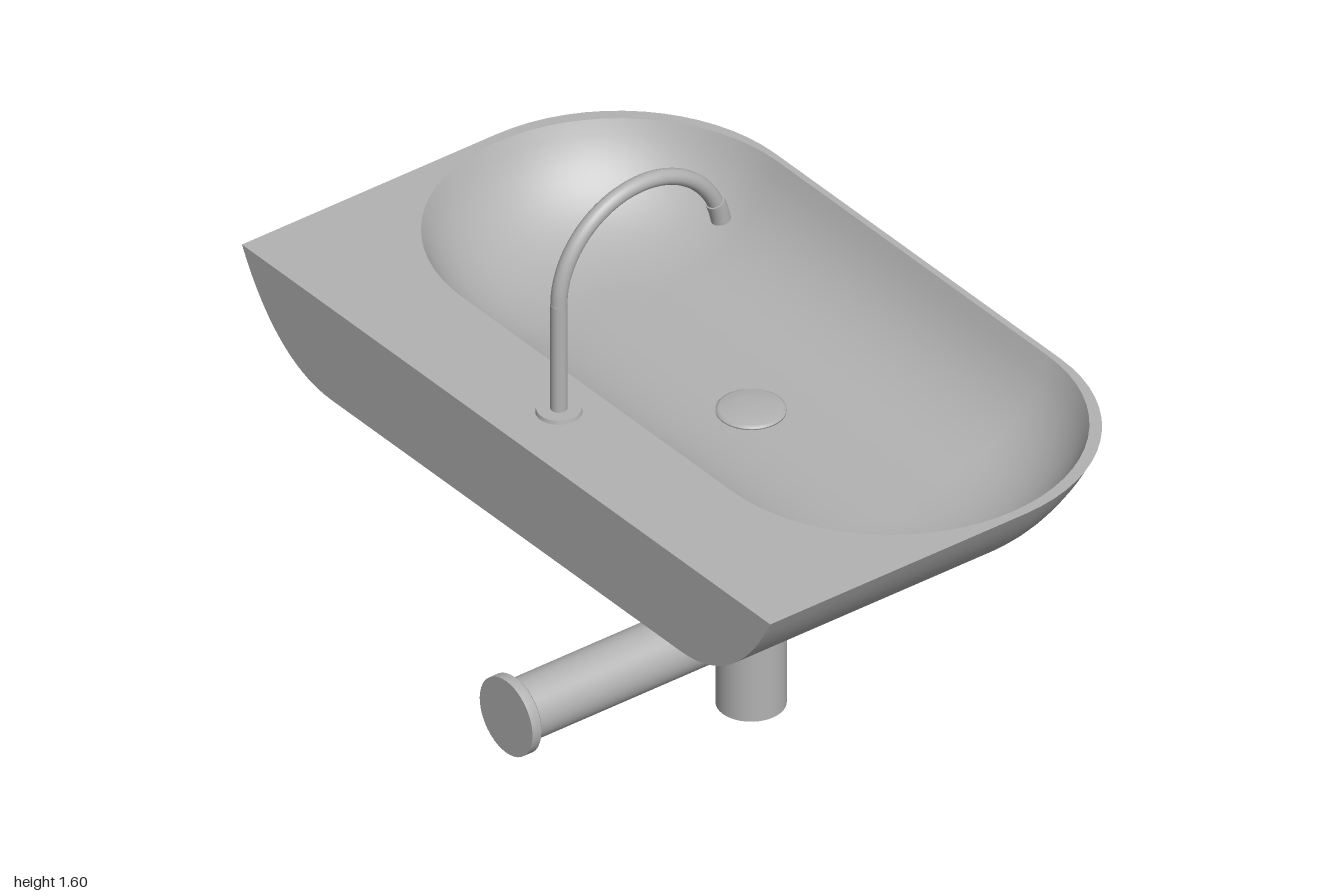
import * as THREE from 'three';

const RIM = 1.045, UNDER = 0.79, FLOOR = 0.808, BACK = -0.605, DRAIN_X = 0.115;
const ceramic = new THREE.MeshStandardMaterial({ color: 0xb2b2b2 });
ceramic.name = 'grey ceramic';

const V = (x, y) => new THREE.Vector2(x, y);

// Arc points (x, z) between two angles in degrees
function arc(cx, cz, r, from, to, n = 16) {
  return Array.from({ length: n + 1 }, (_, i) => {
    const a = THREE.MathUtils.degToRad(from + ((to - from) * i) / n);
    return V(cx + r * Math.cos(a), cz + r * Math.sin(a));
  });
}

// Outer outline: square at the back, rounded at the front corners
function outerOutline(inset) {
  const r = 0.46 - inset, cx = 0.145, cz = 0.54;
  return [V(BACK, cz + r), ...arc(cx, cz, r, 90, 0), ...arc(cx, -cz, r, 0, -90), V(BACK, -cz - r)];
}

// Basin outline: a long oval with straight sides
function basinOutline(inset) {
  const r = 0.462 - inset, cx = 0.127, cz = 0.512;
  return [V(cx - r, 0), ...arc(cx, cz, r, 180, 0, 32), ...arc(cx, -cz, r, 0, -180, 32), V(cx - r, 0)];
}

// Skin stacked outlines; profile points are (inset, y)
function loft(outline, profile, inward) {
  const rings = profile.map((p) => outline(p.x));
  const n = rings[0].length, pos = [], idx = [];
  rings.forEach((ring, i) => ring.forEach((p) => pos.push(p.x, profile[i].y, p.y)));
  for (let i = 0; i < rings.length - 1; i++) {
    for (let j = 0; j < n - 1; j++) {
      const a = i * n + j, b = a + 1, c = a + n, d = c + 1;
      if (inward) idx.push(a, b, c, b, d, c);
      else idx.push(a, c, b, b, c, d);
    }
  }
  const g = new THREE.BufferGeometry();
  g.setAttribute('position', new THREE.Float32BufferAttribute(pos, 3));
  g.setIndex(idx);
  g.computeVertexNormals();
  return g;
}

// Flat horizontal face
function flat(points, y, up, hole) {
  const shape = new THREE.Shape(points);
  if (hole) shape.holes.push(new THREE.Path(hole));
  return new THREE.ShapeGeometry(shape).rotateX(up ? -Math.PI / 2 : Math.PI / 2).translate(0, y, 0);
}

function bowlProfile(width, bulge, bottom) {
  return new THREE.QuadraticBezierCurve(V(0, RIM), V(bulge, bottom), V(width, bottom)).getPoints(14);
}

export function createModel() {
  const model = new THREE.Group();
  model.name = 'washbasin';
  const add = (name, geometry, parent = model) => {
    const m = new THREE.Mesh(geometry, ceramic);
    m.name = name;
    parent.add(m);
    return m;
  };
  const group = (name) => {
    const g = new THREE.Group();
    g.name = name;
    model.add(g);
    return g;
  };

  // Basin body
  const body = group('basinBody');
  const outer = bowlProfile(0.34, 0.13, UNDER);
  const inner = bowlProfile(0.4, 0.1, FLOOR);
  add('outerShell', loft(outerOutline, outer, false), body);
  add('underside', flat(outerOutline(0.34), UNDER, false), body);
  add('deck', flat(outerOutline(0), RIM, true, basinOutline(0).slice(0, -1)), body);
  add('bowl', loft(basinOutline, inner, true), body);
  add('bowlFloor', flat(basinOutline(0.4).slice(0, -1), FLOOR, true), body);
  const wall = [
    ...outer.map((p) => V(1 - p.x, p.y)),
    ...outer.map((p) => V(p.x - 1, p.y)).reverse(),
  ];
  add('backWall', new THREE.ShapeGeometry(new THREE.Shape(wall)).rotateY(-Math.PI / 2).translate(BACK, 0, 0), body);

  // Drain cover, slightly domed
  add('drainCover', new THREE.LatheGeometry(
    [V(0.07, 0), V(0.083, 0.008), V(0.083, 0.012), V(0.075, 0.017), V(0.04, 0.021), V(0, 0.022)], 40,
  )).position.set(DRAIN_X, FLOOR, 0);

  // Faucet
  const faucet = group('faucet');
  const fx = -0.21, fy = 1.345, fr = 0.24;
  const bend = (from, to, n) => Array.from({ length: n + 1 }, (_, i) => {
    const a = from + ((to - from) * i) / n;
    return new THREE.Vector3(fx + fr * Math.cos(a), fy + fr * Math.sin(a), 0);
  });
  const tube = (points, n, r) => new THREE.TubeGeometry(new THREE.CatmullRomCurve3(points), n, r, 20);
  add('faucetFlange', new THREE.CylinderGeometry(0.053, 0.055, 0.01, 32), faucet)
    .position.set(fx - fr, RIM + 0.005, 0);
  add('faucetStem', new THREE.CylinderGeometry(0.02, 0.02, fy - RIM, 20, 1, true), faucet)
    .position.set(fx - fr, (RIM + fy) / 2, 0);
  add('faucetArch', tube(bend(Math.PI, 0.3, 24), 48, 0.02), faucet);
  add('faucetNozzle', tube(bend(0.43, 0.18, 4), 6, 0.024), faucet);
  // Nozzle end faces
  for (const [a, dir] of [[0.18, -1], [0.43, 1]]) {
    const end = add('nozzleEnd', new THREE.CircleGeometry(0.024, 20), faucet);
    end.position.set(fx + fr * Math.cos(a), fy + fr * Math.sin(a), 0);
    end.lookAt(end.position.x - dir * Math.sin(a), end.position.y + dir * Math.cos(a), 0);
  }

  // Trap below the basin
  const trap = group('trap');
  const pipe = (name, r, y0, y1) => add(name, new THREE.CylinderGeometry(r, r, y1 - y0, 40), trap)
    .position.set(DRAIN_X, (y0 + y1) / 2, 0);
  pipe('upperPipe', 0.061, 0.42, 0.76);
  pipe('bottleTrap', 0.083, 0, 0.43);
  add('collarNut', new THREE.LatheGeometry(
    [V(0.06, 0.728), V(0.076, 0.73), V(0.084, 0.742), V(0.086, 0.76), V(0.085, UNDER)], 40,
  ), trap).position.x = DRAIN_X;

  // Waste pipe to the wall
  const wasteEnd = -0.575;
  add('wastePipe', new THREE.CylinderGeometry(0.077, 0.077, DRAIN_X - wasteEnd, 40).rotateZ(Math.PI / 2), trap)
    .position.set((DRAIN_X + wasteEnd) / 2, 0.255, 0);
  add('wallFlange', new THREE.LatheGeometry(
    [V(0.077, 0), V(0.093, 0.002), V(0.1, 0.008), V(0.1, 0.034)], 40,
  ).rotateZ(Math.PI / 2), trap).position.set(wasteEnd + 0.004, 0.255, 0);
  add('wallFlangeEnd', new THREE.CircleGeometry(0.1, 40).rotateY(-Math.PI / 2), trap)
    .position.set(BACK, 0.255, 0);

  return model;
}
